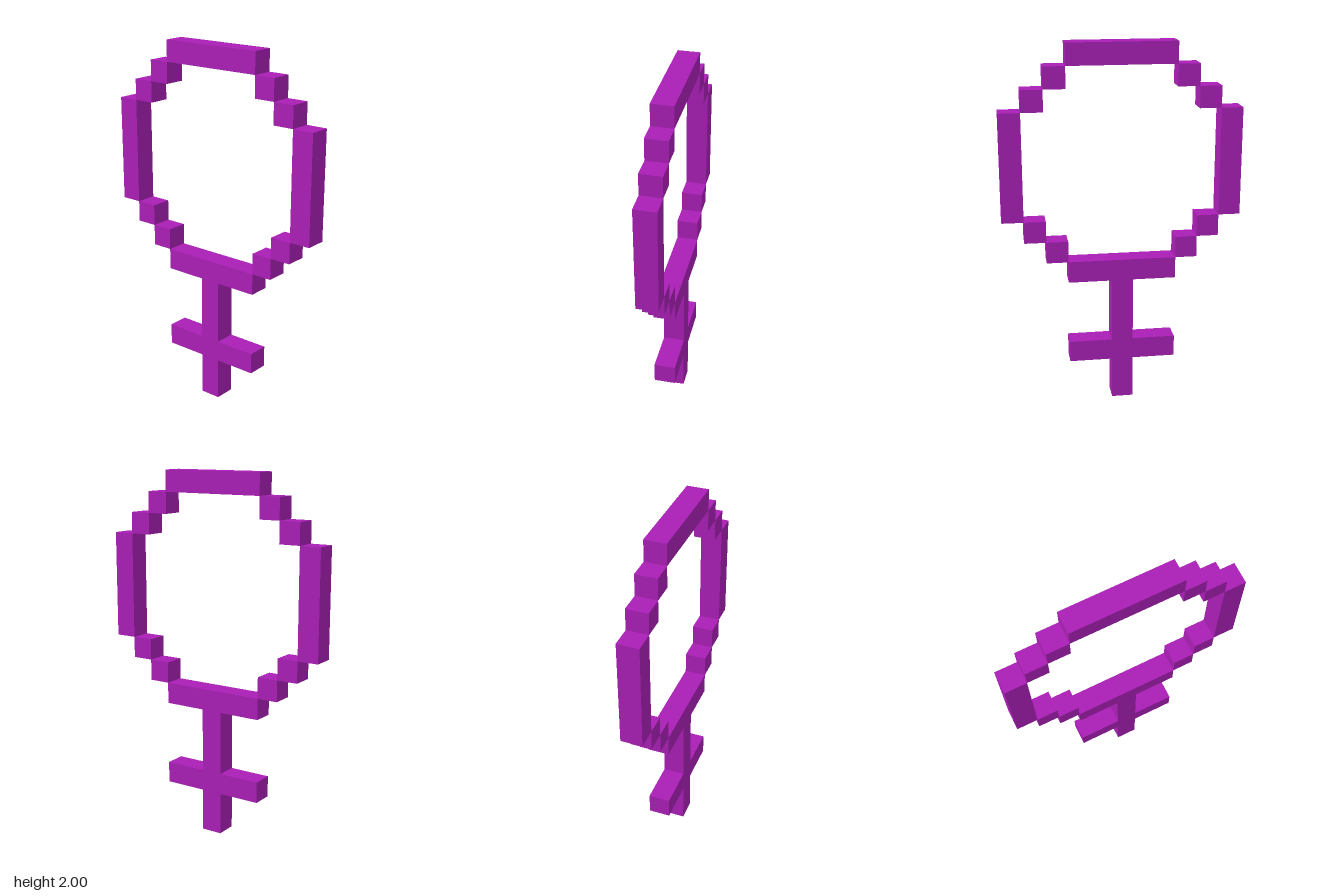
import * as THREE from 'three';

// One grid cell: the figure is 17 cells tall, 11 wide and 1 deep.
const CELL = 2 / 17;

export function createModel() {
  const model = new THREE.Group();
  model.name = 'blockSymbol';
  const purple = new THREE.MeshStandardMaterial({ color: 0xaa1fb6 });
  purple.name = 'purple';

  // Block centred on column `col`, with its bottom at row `row`, sized in cells
  function block(parent, name, col, row, w, h) {
    const mesh = new THREE.Mesh(new THREE.BoxGeometry(w * CELL, h * CELL, CELL), purple);
    mesh.name = name;
    mesh.position.set(col * CELL, (row + h / 2) * CELL, 0);
    parent.add(mesh);
  }

  // Stepped ring
  const ring = new THREE.Group();
  ring.name = 'ring';
  block(ring, 'ringTop', 0, 16, 5, 1);
  block(ring, 'ringBottom', 0, 6, 5, 1);
  for (const [side, s] of [['left', 1], ['right', -1]]) {
    block(ring, side + 'RingSide', s * 5, 9, 1, 5);
    for (const [col, row] of [[3, 15], [4, 14], [4, 8], [3, 7]]) {
      block(ring, side + 'RingStep', s * col, row, 1, 1);
    }
  }

  // Cross below the ring
  const cross = new THREE.Group();
  cross.name = 'cross';
  block(cross, 'upperStem', 0, 3, 1, 3);
  block(cross, 'crossbar', 0, 2, 5, 1);
  block(cross, 'lowerStem', 0, 0, 1, 2);

  model.add(ring, cross);
  return model;
}
